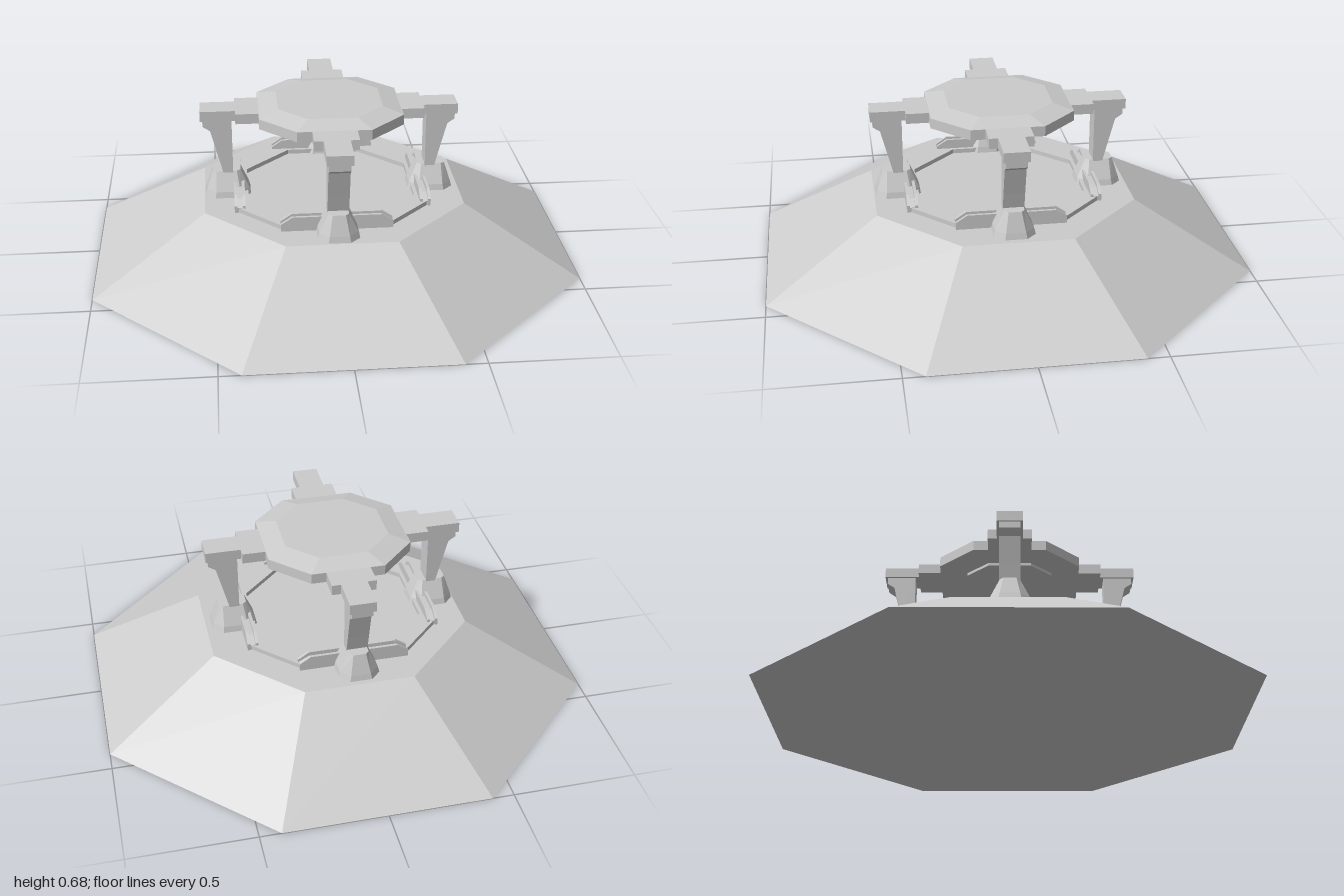
import * as THREE from 'three';

const material = new THREE.MeshStandardMaterial({ color: 0xcccccc, flatShading: true });

function add(parent, name, geometry) {
  const mesh = new THREE.Mesh(geometry, material);
  mesh.name = name;
  parent.add(mesh);
  return mesh;
}

// Chamfered rectangle, counter-clockwise: half sizes a, b; flat edges reach ca, cb
function chamfered(a, b, ca, cb, dx = 0) {
  return [[a, -cb], [a, cb], [ca, b], [-ca, b], [-a, cb], [-a, -cb], [-ca, -b], [ca, -b]]
    .map(([x, y]) => [x + dx, y]);
}
const octagon = (a, c) => chamfered(a, a, c, c);
const toShape = pts => new THREE.Shape(pts.map(p => new THREE.Vector2(...p)));

// Flat-faced solid through stacked outlines [y, points]
function loft(sections) {
  const pos = [];
  const rings = sections.map(([y, pts]) => pts.map(([u, v]) => [u, y, -v]));
  const n = rings[0].length;
  for (let s = 0; s < rings.length - 1; s++) {
    for (let i = 0; i < n; i++) {
      const j = (i + 1) % n, lo = rings[s], hi = rings[s + 1];
      pos.push(...lo[i], ...lo[j], ...hi[j], ...lo[i], ...hi[j], ...hi[i]);
    }
  }
  const bottom = rings[0], top = rings[rings.length - 1];
  for (let i = 1; i < n - 1; i++) {
    pos.push(...top[0], ...top[i], ...top[i + 1]);
    pos.push(...bottom[0], ...bottom[i + 1], ...bottom[i]);
  }
  const g = new THREE.BufferGeometry();
  g.setAttribute('position', new THREE.Float32BufferAttribute(pos, 3));
  g.computeVertexNormals();
  return g;
}

// Horizontal slab from a plan outline
function slab(shape, y, height) {
  return new THREE.ExtrudeGeometry(shape, { depth: height, bevelEnabled: false })
    .rotateX(-Math.PI / 2).translate(0, y, 0);
}

// Vertical profile in x-y, extruded symmetrically or between z0 and z1
function upright(points, z0, z1) {
  return new THREE.ExtrudeGeometry(toShape(points), { depth: z1 - z0, bevelEnabled: false })
    .translate(0, 0, z0);
}

// One side of the structure, built along +x
function createSide() {
  const side = new THREE.Group();
  side.name = 'supportSide';

  // Flared foot
  add(side, 'foot', loft([
    [0.272, chamfered(0.095, 0.085, 0.055, 0.045, 0.428)],
    [0.30, chamfered(0.088, 0.078, 0.05, 0.04, 0.428)],
    [0.38, chamfered(0.058, 0.04, 0.042, 0.026, 0.432)],
  ]));

  // Pillar with a straight inner face and a flared outer face
  add(side, 'pillar', upright([
    [0.405, 0.37], [0.445, 0.37], [0.465, 0.45], [0.495, 0.565],
    [0.525, 0.585], [0.525, 0.615], [0.405, 0.615],
  ], -0.043, 0.043));

  // Channel rail: two thin walls with clipped ends and a lower web
  const rail = new THREE.Group();
  rail.name = 'rail';
  rail.rotation.y = Math.PI / 2;
  side.add(rail);
  const wall = [[-0.225, 0.275], [0.225, 0.275], [0.225, 0.305],
    [0.18, 0.335], [-0.18, 0.335], [-0.225, 0.305]];
  const web = [[-0.222, 0.275], [0.222, 0.275], [0.222, 0.295],
    [0.18, 0.318], [-0.18, 0.318], [-0.222, 0.295]];
  add(rail, 'railInnerWall', upright(wall, 0.36, 0.372));
  add(rail, 'railOuterWall', upright(wall, 0.393, 0.405));
  add(rail, 'railWeb', upright(web, 0.372, 0.393));
  return side;
}

export function createModel() {
  const model = new THREE.Group();
  model.name = 'platform';

  // Sloped octagonal mound
  add(model, 'mound', loft([[0, octagon(1, 0.414)], [0.275, octagon(0.537, 0.223)]]));

  const structure = new THREE.Group();
  structure.name = 'structure';
  structure.position.set(-0.01, 0, 0.007);
  model.add(structure);

  // Raised border around the floor
  const border = toShape(octagon(0.4, 0.21));
  border.holes.push(new THREE.Path(
    octagon(0.345, 0.155).reverse().map(p => new THREE.Vector2(...p))));
  add(structure, 'floorBorder', slab(border, 0.272, 0.022));

  // Four identical supports
  for (let i = 0; i < 4; i++) {
    const side = createSide();
    side.rotation.y = i * Math.PI / 2;
    structure.add(side);
  }

  // Canopy plate: octagon with four stepped arms
  const quarter = [[0.295, -0.09], [0.39, -0.09], [0.39, -0.053], [0.535, -0.053],
    [0.535, 0.053], [0.39, 0.053], [0.39, 0.09], [0.295, 0.09], [0.295, 0.15], [0.15, 0.295]];
  const outline = [];
  for (let i = 0; i < 4; i++) {
    const c = [1, 0, -1, 0][i], s = [0, 1, 0, -1][i];
    outline.push(...quarter.map(([x, y]) => [x * c - y * s, x * s + y * c]));
  }
  add(structure, 'canopyPlate', slab(toShape(outline), 0.612, 0.043));

  // Shallow raised roof and the panel beneath the plate
  add(structure, 'canopyRoof', loft([
    [0.65, octagon(0.295, 0.15)], [0.655, octagon(0.293, 0.149)], [0.676, octagon(0.215, 0.1)],
  ]));
  add(structure, 'canopyUnderside', slab(toShape(octagon(0.18, 0.09)), 0.6, 0.02));

  return model;
}
